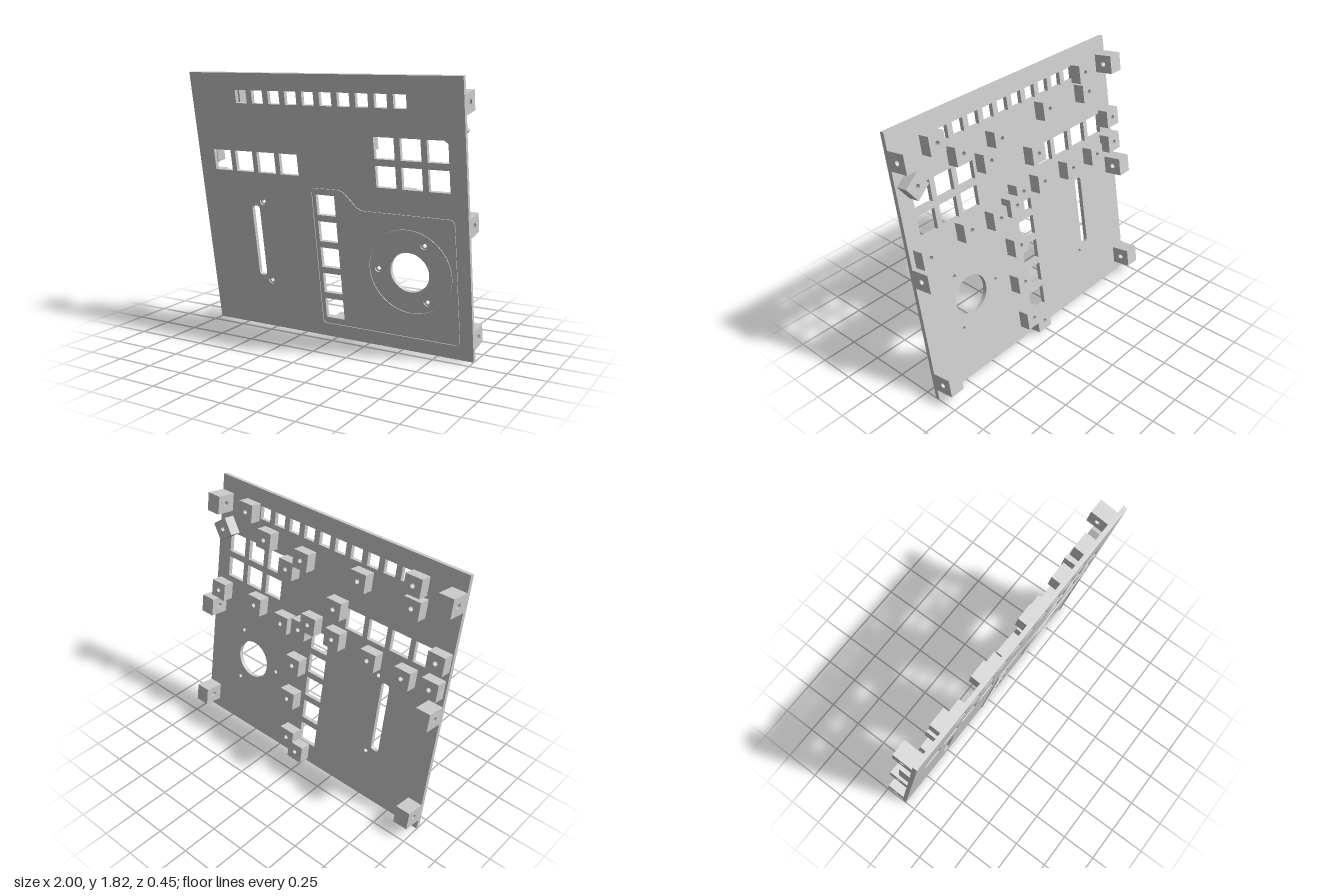
import * as THREE from 'three';

const TILT = THREE.MathUtils.degToRad(9.5);
const COS = Math.cos(TILT);
const T = 0.03;          // plate thickness
const H = 1.84;          // plate height along its slope
const mat = new THREE.MeshStandardMaterial({ color: 0xcccccc, flatShading: true });

function rectPath(cx, cy, w, h, Type = THREE.Path) {
  const p = new Type(), x = w / 2, y = h / 2;
  p.moveTo(cx - x, cy - y);
  p.lineTo(cx + x, cy - y);
  p.lineTo(cx + x, cy + y);
  p.lineTo(cx - x, cy + y);
  p.closePath();
  return p;
}

function circlePath(x, y, r, Type = THREE.Path) {
  const p = new Type();
  p.absarc(x, y, r, 0, Math.PI * 2, false);
  return p;
}

// Closed outline with softened corners
function roundedPath(pts, r, Type = THREE.Path) {
  const p = new Type();
  const v = pts.map(([x, y]) => new THREE.Vector2(x, y));
  v.forEach((c, i) => {
    const prev = v[(i + v.length - 1) % v.length], next = v[(i + 1) % v.length];
    const a = c.clone().add(prev.clone().sub(c).setLength(r));
    const b = c.clone().add(next.clone().sub(c).setLength(r));
    if (i === 0) p.moveTo(a.x, a.y); else p.lineTo(a.x, a.y);
    p.quadraticCurveTo(c.x, c.y, b.x, b.y);
  });
  p.closePath();
  return p;
}

function extrude(shape, depth, name, segments = 16) {
  const g = new THREE.ExtrudeGeometry(shape, { depth, bevelEnabled: false, curveSegments: segments });
  const m = new THREE.Mesh(g, mat);
  m.name = name;
  return m;
}

// Openings; heights are vertical and are divided by COS to lie on the slope
const onSlope = (y) => y / COS;
const DIAL = [0.583, onSlope(0.557)];
const screws = [[-0.505, onSlope(0.935)], [-0.505, onSlope(0.355)]];
for (const a of [Math.PI, Math.PI / 3, -Math.PI / 3]) {
  screws.push([DIAL[0] + 0.225 * Math.cos(a), DIAL[1] + 0.225 * Math.sin(a)]);
}

function plateLayer(depth, screwRadius, name) {
  const s = rectPath(0, H / 2, 2, H, THREE.Shape);
  const window = (x, y, size) => s.holes.push(rectPath(x, onSlope(y), size, size / COS));
  for (let i = 0; i < 10; i++) window(-0.59 + i * 0.1306, 1.657, 0.088);
  for (let i = 0; i < 4; i++) window(-0.803 + i * 0.18, 1.213, 0.143);
  for (let i = 0; i < 6; i++) window(0.457 + (i % 3) * 0.181, i < 3 ? 1.362 : 1.178, 0.141);
  for (let i = 0; i < 5; i++) window(-0.002, 0.215 + i * 0.1845, 0.141);
  const y0 = onSlope(0.39), y1 = onSlope(0.903);
  s.holes.push(roundedPath([[-0.602, y0], [-0.539, y0], [-0.539, y1], [-0.602, y1]], 0.025));
  s.holes.push(circlePath(...DIAL, 0.137));
  for (const [x, y] of screws) s.holes.push(circlePath(x, y, screwRadius));
  return extrude(s, depth, name, 24);
}

// Border line of the control area, inset by d
function areaBorder(d, Type) {
  const pts = [
    [-0.11 + d, 0.09 + d], [0.912 - d, 0.09 + d], [0.912 - d, 0.943 - d],
    [0.25 - 0.4 * d, 0.943 - d], [0.13 - 0.4 * d, 1.068 - d], [-0.11 + d, 1.068 - d],
  ].map(([x, y]) => [x, onSlope(y)]);
  return roundedPath(pts, 0.04 - d, Type);
}

// Square standoff with a screw hole facing the back
function standoff(x, y, angle = 0) {
  const s = rectPath(0, 0, 0.123, 0.125, THREE.Shape);
  s.holes.push(circlePath(0, 0, 0.016));
  const m = extrude(s, 0.08, 'standoff');
  m.position.set(x, y, -T - 0.08);
  m.rotation.z = angle;
  return m;
}

// Edge lug with a screw hole running sideways
function edgeLug(side, y) {
  const s = rectPath(0, 0, 0.135, 0.127, THREE.Shape);
  s.holes.push(circlePath(0, 0, 0.018));
  const m = extrude(s, 0.105, 'edgeLug');
  m.rotation.y = Math.PI / 2;
  m.position.set(side > 0 ? 0.895 : -1, y, -T - 0.0675);
  return m;
}

export function createModel() {
  const model = new THREE.Group();
  model.name = 'controlPanel';
  const panel = new THREE.Group();
  panel.name = 'tiltedPanel';
  panel.rotation.x = TILT;
  panel.position.z = -0.08;
  model.add(panel);

  // Two layers give the screw holes a counterbore at the front
  const back = plateLayer(T - 0.01, 0.014, 'plateBack');
  back.position.z = -T;
  const front = plateLayer(0.01, 0.025, 'plateFront');
  front.position.z = -0.01;
  panel.add(back, front);

  // Fine raised lines on the front
  const border = areaBorder(0, THREE.Shape);
  border.holes.push(areaBorder(0.01, THREE.Path));
  const ring = circlePath(...DIAL, 0.294, THREE.Shape);
  ring.holes.push(circlePath(...DIAL, 0.285));
  panel.add(extrude(border, 0.006, 'areaBorder', 8), extrude(ring, 0.006, 'dialRing', 40));

  // Standoffs on the back
  const spots = [
    [0.70, 1.676], [0.516, 1.538], [0.182, 1.513], [0.3, 1.408], [-0.287, 1.548],
    [-0.683, 1.674], [-0.7, 1.531], [-0.13, 1.29], [0.553, 1.04], [0.905, 1.017],
    [0.295, 1.005], [0.06, 1.096], [0.135, 1.027], [-0.152, 1.08], [-0.45, 1.059],
    [-0.72, 1.057], [-0.932, 1.264], [-0.925, 1.077], [0.152, 0.74], [0.165, 0.465],
    [0.13, 0.157], [0.035, 0.08],
  ];
  for (const [x, y] of spots) panel.add(standoff(x, y));
  panel.add(standoff(0.9, 1.485, -0.63));

  // Lugs along both side edges
  for (const side of [-1, 1]) {
    for (const y of [1.667, 0.896, 0.135]) panel.add(edgeLug(side, y));
  }
  return model;
}
